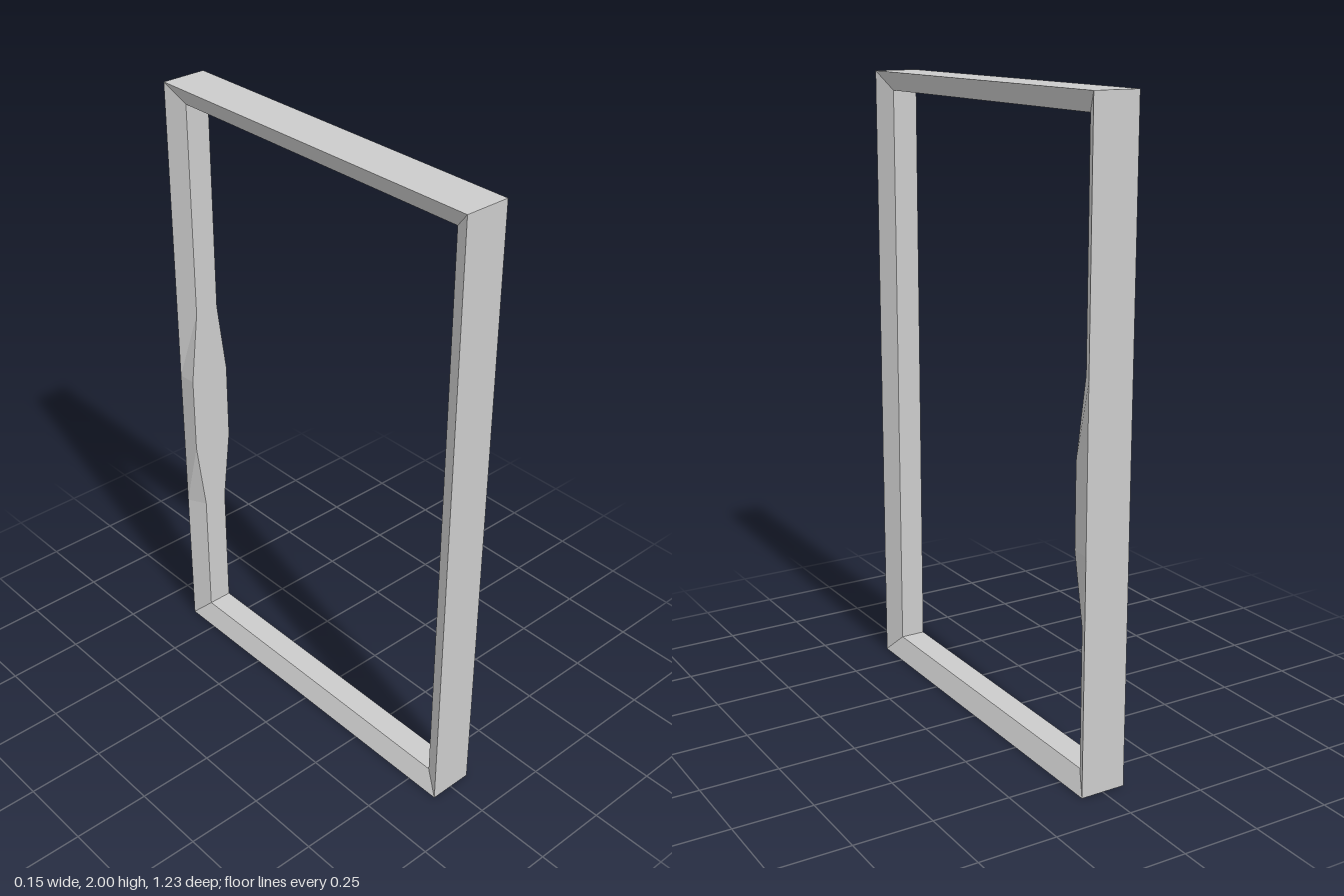
import * as THREE from 'three';

const H = 2;            // frame height
const D = 1.226;        // frame depth along z
const T = 0.06;         // thickness of each bar
const OUTER = 0.073;    // half width of the outer face
const INNER = 0.041;    // half width of the inner face
const WIDE = 0.07;      // half width of the inner face at the swelling

// Mitred bar along z: outer face on y = 0, narrower inner face on y = T.
// Each swell entry is [position, inner half width].
function makeBar(name, length, material, swell = []) {
  const h = length / 2;
  const stations = [
    { outer: -h, inner: -h + T, half: INNER },
    ...swell.map(([s, half]) => ({ outer: s, inner: s, half })),
    { outer: h, inner: h - T, half: INNER },
  ];
  const positions = [];
  const indices = [];
  stations.forEach(({ outer, inner, half }, k) => {
    positions.push(-OUTER, 0, outer, OUTER, 0, outer, half, T, inner, -half, T, inner);
    if (k === 0) return;
    for (let i = 0; i < 4; i++) {
      const a = (k - 1) * 4 + i;
      const b = (k - 1) * 4 + ((i + 1) % 4);
      indices.push(a, b, b + 4, a, b + 4, a + 4);
    }
  });
  const indexed = new THREE.BufferGeometry();
  indexed.setAttribute('position', new THREE.Float32BufferAttribute(positions, 3));
  indexed.setIndex(indices);
  const geometry = indexed.toNonIndexed();
  geometry.computeVertexNormals();
  const mesh = new THREE.Mesh(geometry, material);
  mesh.name = name;
  return mesh;
}

export function createModel() {
  const group = new THREE.Group();
  group.name = 'frame';
  const material = new THREE.MeshStandardMaterial({ color: 0xcccccc, flatShading: true });

  // Sill and head
  const bottom = makeBar('bottomRail', D, material);
  const top = makeBar('topRail', D, material);
  top.rotation.x = Math.PI;
  top.position.y = H;

  // Plain front post
  const front = makeBar('frontPost', H, material);
  front.rotation.x = -Math.PI / 2;
  front.position.set(0, H / 2, D / 2);

  // Back post, widened on its inner side around the latch height
  const swell = [[1.24, INNER], [1.0, WIDE], [0.74, WIDE], [0.5, INNER]]
    .map(([y, half]) => [H / 2 - y, half]);
  const back = makeBar('backPost', H, material, swell);
  back.rotation.x = Math.PI / 2;
  back.position.set(0, H / 2, -D / 2);

  group.add(bottom, top, front, back);
  return group;
}
